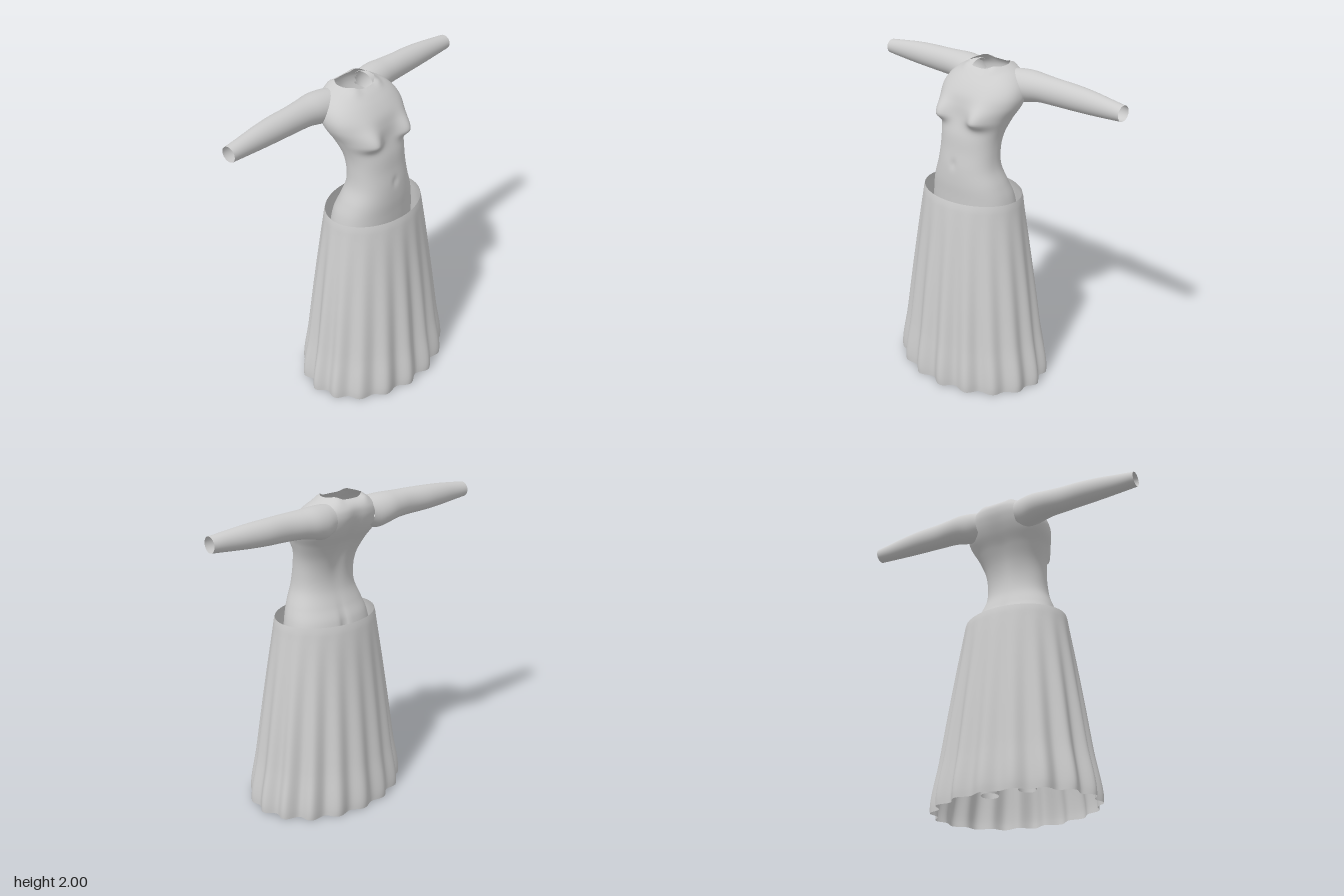
import * as THREE from 'three';

// Smooth tube closed around u; point(angle, v) returns [x, y, z], v runs 0..1
function loft(point, around, rows) {
  const pos = [], index = [];
  for (let j = 0; j <= rows; j++) {
    for (let i = 0; i < around; i++) pos.push(...point((i / around) * Math.PI * 2, j / rows));
  }
  for (let j = 0; j < rows; j++) {
    for (let i = 0; i < around; i++) {
      const k = (i + 1) % around;
      const a = j * around + i, b = j * around + k, c = a + around, d = b + around;
      index.push(a, b, d, a, d, c);
    }
  }
  const geo = new THREE.BufferGeometry();
  geo.setAttribute('position', new THREE.Float32BufferAttribute(pos, 3));
  geo.setIndex(index);
  geo.computeVertexNormals();
  return geo;
}

// Smooth interpolation of key rows [station, ...values]; v runs 0..1
function profile(keys) {
  const size = keys[0].length - 1;
  const spline = new THREE.CubicInterpolant(
    keys.map((k) => k[0]), keys.flatMap((k) => k.slice(1)), size, new Array(size));
  const first = keys[0][0], last = keys[keys.length - 1][0];
  return (v) => {
    const s = first + (last - first) * v;
    return [s, ...spline.evaluate(s)];
  };
}

const bell = (d, w) => Math.exp(-(d * d) / (w * w));
const power = (c, p) => Math.sign(c) * Math.abs(c) ** p;

// Torso: height, half width, front z, back z
function torsoGeometry() {
  const at = profile([
    [1.0, 0.285, 0.165, -0.2], [1.1, 0.292, 0.175, -0.21], [1.22, 0.276, 0.18, -0.19],
    [1.3, 0.25, 0.183, -0.155], [1.4, 0.211, 0.178, -0.122], [1.5, 0.2, 0.163, -0.12],
    [1.6, 0.206, 0.15, -0.147], [1.7, 0.238, 0.122, -0.2], [1.78, 0.275, 0.108, -0.255],
    [1.84, 0.28, 0.088, -0.285], [1.9, 0.255, 0.045, -0.3], [1.95, 0.2, -0.005, -0.29],
    [1.975, 0.15, -0.03, -0.262], [1.983, 0.125, -0.042, -0.243],
  ]);
  const geo = loft((a, v) => {
    let [y, w, front, back] = at(v);
    const c = Math.cos(a);
    const x = w * power(Math.sin(a), 0.88);
    let z = (front + back) / 2 + ((front - back) / 2) * power(c, 0.88);
    if (c > 0) {
      // Breasts, fuller below than above, and the navel
      const dy = y - 1.705;
      z += 0.068 * bell(Math.abs(x) - 0.15, 0.07) * bell(dy, dy > 0 ? 0.085 : 0.042);
      z -= 0.008 * bell(x, 0.02) * bell(y - 1.42, 0.03);
    } else {
      // Spine groove and the cleft of the seat
      z += 0.025 * bell(x, 0.05) * bell(y - 1.72, 0.2);
      z += 0.03 * bell(x, 0.022) * bell(y - 1.12, 0.13);
    }
    // Uneven neck edge
    const rim = THREE.MathUtils.smoothstep(y, 1.94, 1.983);
    y += rim * (0.017 * bell(Math.abs(x) - 0.1, 0.03) - 0.01 * Math.max(c, 0));
    return [x, y, z];
  }, 96, 90);

  // Armholes, so the hollow arms open into the torso
  const p = geo.attributes.position, kept = [], idx = geo.index.array;
  const inside = (i) => Math.abs(p.getX(i)) > 0.16
    && Math.hypot(p.getY(i) - 1.885, p.getZ(i) + 0.21) < 0.06;
  for (let t = 0; t < idx.length; t += 3) {
    const tri = [idx[t], idx[t + 1], idx[t + 2]];
    if (!tri.some(inside)) kept.push(...tri);
  }
  geo.setIndex(kept);
  return geo;
}

// Arm: distance from the middle, centre y, centre z, radius y, radius z
function armGeometry(side) {
  const at = profile([
    [0.14, 1.878, -0.2, 0.088, 0.09], [0.2, 1.872, -0.21, 0.1, 0.1],
    [0.27, 1.88, -0.217, 0.094, 0.098], [0.35, 1.886, -0.217, 0.084, 0.086],
    [0.45, 1.887, -0.214, 0.08, 0.076], [0.6, 1.886, -0.216, 0.075, 0.072],
    [0.72, 1.885, -0.213, 0.068, 0.064], [0.84, 1.883, -0.208, 0.057, 0.054],
    [0.945, 1.881, -0.205, 0.046, 0.048],
  ]);
  return loft((a, v) => {
    const [x, cy, cz, ry, rz] = at(v);
    return [side * x, cy + ry * Math.cos(a), cz + rz * Math.sin(a * side)];
  }, 40, 40);
}

// Leg: height, centre x, centre z, radius x, radius z
function legGeometry(side) {
  const at = profile([
    [0.08, 0.125, -0.09, 0.053, 0.058], [0.2, 0.125, -0.095, 0.058, 0.065],
    [0.4, 0.125, -0.085, 0.075, 0.085], [0.58, 0.125, -0.05, 0.075, 0.08],
    [0.8, 0.135, -0.02, 0.11, 0.12], [1.0, 0.142, -0.012, 0.138, 0.165],
    [1.08, 0.142, -0.012, 0.138, 0.17],
  ]);
  return loft((a, v) => {
    const [y, cx, cz, rx, rz] = at(v);
    return [side * cx + rx * Math.sin(a), y, cz + rz * Math.cos(a)];
  }, 36, 36);
}

// Skirt: height, radius x, radius z, fold depth
function skirtGeometry() {
  const at = profile([
    [0, 0.518, 0.388, 0.022], [0.04, 0.518, 0.39, 0.023], [0.3, 0.474, 0.363, 0.018],
    [0.6, 0.432, 0.333, 0.012], [0.9, 0.388, 0.3, 0.006], [1.15, 0.349, 0.27, 0.001],
    [1.2, 0.342, 0.262, 0], [1.22, 0.337, 0.256, 0],
  ]);
  return loft((a, v) => {
    const [y, rx, rz, depth] = at(v);
    // Seventeen folds of uneven depth, fading towards the waist
    const fold = depth * Math.cos(17 * (a - Math.PI) + 0.35 * Math.sin(2 * a))
      * (0.85 + 0.2 * Math.sin(3 * a + 1));
    return [(rx + fold) * Math.sin(a), y, (rz + fold) * Math.cos(a)];
  }, 17 * 12, 48);
}

export function createModel() {
  const model = new THREE.Group();
  model.name = 'dressForm';
  const grey = new THREE.MeshStandardMaterial({ color: 0xcccccc, side: THREE.DoubleSide });
  grey.name = 'light grey';

  const add = (name, geometry) => {
    const mesh = new THREE.Mesh(geometry, grey);
    mesh.name = name;
    model.add(mesh);
  };

  add('torso', torsoGeometry());
  for (const [name, side] of [['left', 1], ['right', -1]]) {
    add(name + 'Arm', armGeometry(side));
    add(name + 'Leg', legGeometry(side));
  }
  add('skirt', skirtGeometry());
  return model;
}
